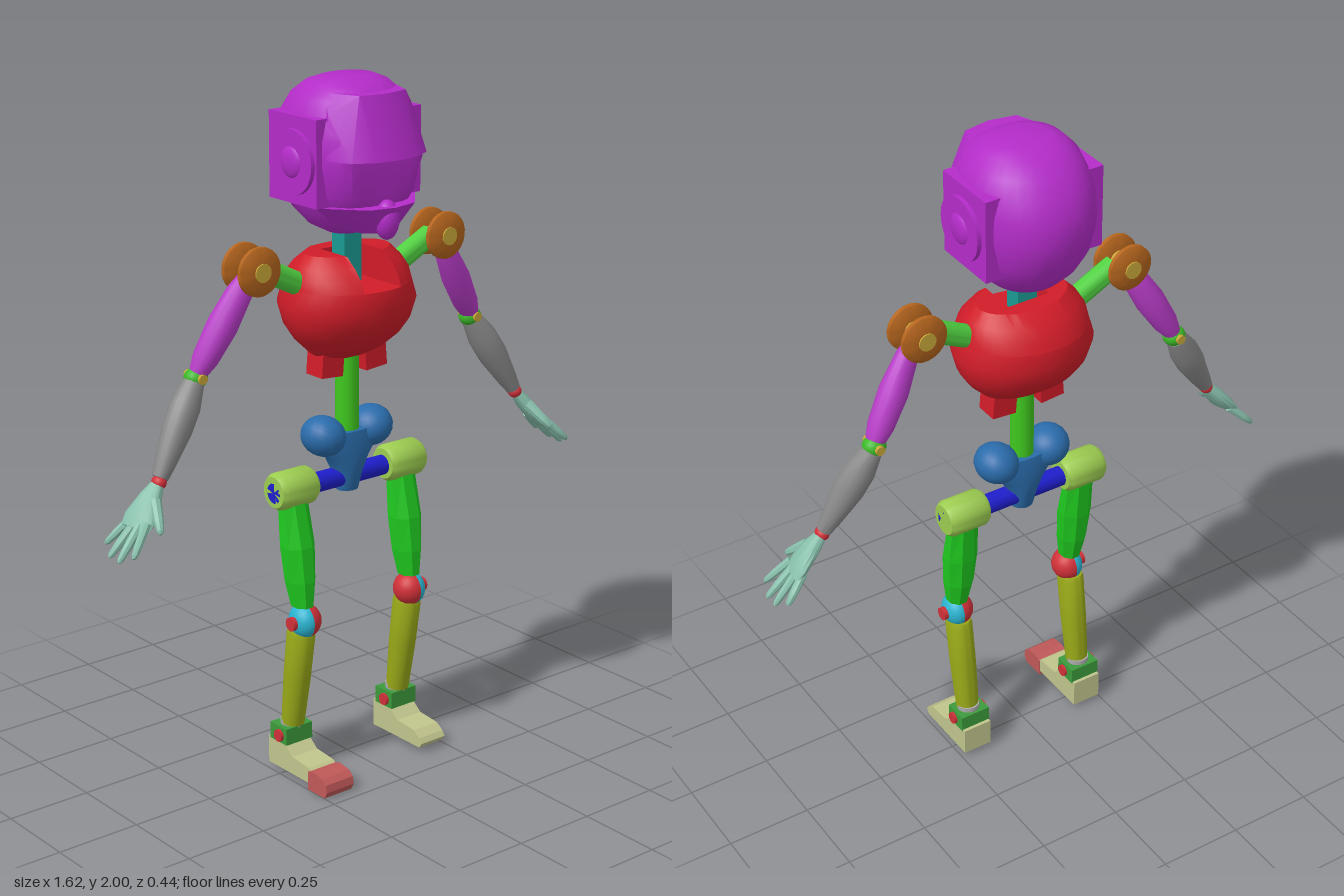
import * as THREE from 'three';
import { toCreasedNormals } from 'three/addons/utils/BufferGeometryUtils.js';
import { ConvexGeometry } from 'three/addons/geometries/ConvexGeometry.js';

const V = (x, y, z) => new THREE.Vector3(x, y, z);
const UP = V(0, 1, 0);

function add(parent, name, geo, color, pos = [0, 0, 0], flat = false) {
  const mesh = new THREE.Mesh(geo, new THREE.MeshStandardMaterial({ color, flatShading: flat }));
  mesh.name = name;
  mesh.position.set(...pos);
  parent.add(mesh);
  return mesh;
}

// Closed skin over elliptical rings [y, rx, rz, zCentre]; pow > 2 squares the section, zMax flattens the front
function loft(rings, n = 24, { crease = 0.7, pow = 2, zMax = Infinity } = {}) {
  const p = [], idx = [];
  const e = (v) => Math.sign(v) * Math.abs(v) ** (2 / pow);
  for (const [y, rx, rz, zc = 0] of rings)
    for (let j = 0; j < n; j++) {
      const a = ((j + 0.5) / n) * Math.PI * 2;
      p.push(rx * e(Math.cos(a)), y, Math.min(zMax, zc + rz * e(Math.sin(a))));
    }
  const last = rings.length - 1, bottom = rings.length * n;
  for (const i of [0, last]) p.push(0, rings[i][0], rings[i][3] || 0);
  for (let j = 0; j < n; j++) {
    const k = (j + 1) % n;
    for (let i = 0; i < last; i++) {
      const a = i * n + j, b = i * n + k;
      idx.push(a, a + n, b, b, a + n, b + n);
    }
    idx.push(bottom, j, k, bottom + 1, last * n + k, last * n + j);
  }
  const g = new THREE.BufferGeometry();
  g.setAttribute('position', new THREE.Float32BufferAttribute(p, 3));
  g.setIndex(idx);
  g.computeVertexNormals();
  return toCreasedNormals(g, crease);
}

// Lofted limb from a to b; rings are [fraction, rx, rz]
function limb(parent, name, color, a, b, rings, n = 12, flat = false) {
  const A = V(...a), d = V(...b).sub(A), len = d.length();
  const m = add(parent, name, loft(rings.map(([t, rx, rz]) => [t * len, rx, rz]), n), color, a, flat);
  m.quaternion.setFromUnitVectors(UP, d.normalize());
  return m;
}

function disc(parent, name, color, pos, r, depth, axis, n = 20) {
  const g = new THREE.CylinderGeometry(r, r, depth, n);
  axis === 'x' ? g.rotateZ(Math.PI / 2) : g.rotateX(Math.PI / 2);
  return add(parent, name, g, color, pos);
}

function ball(parent, name, color, pos, rx, ry = rx, rz = rx) {
  return add(parent, name, new THREE.SphereGeometry(1, 20, 14).scale(rx, ry, rz), color, pos);
}

// Convex block; points are given for x >= 0 and mirrored
function hull(parent, name, color, pts) {
  const all = pts.flatMap(([x, y, z]) => (x ? [V(x, y, z), V(-x, y, z)] : [V(x, y, z)]));
  return add(parent, name, toCreasedNormals(new ConvexGeometry(all), 0.6), color);
}

function buildHead() {
  const g = new THREE.Group(), c = 0xb32cc8;
  g.name = 'head';
  add(g, 'skull', loft([[1.57, 0.05, 0.05, -0.01], [1.595, 0.1, 0.115], [1.64, 0.14, 0.16], [1.7, 0.165, 0.198],
    [1.78, 0.178, 0.22], [1.85, 0.178, 0.215], [1.9, 0.168, 0.192], [1.95, 0.148, 0.155], [1.985, 0.115, 0.105],
    [2, 0.08, 0.06]], 32, { crease: 0.75, pow: 2.15, zMax: 0.165 }), c);
  hull(g, 'brow', c, [[0.16, 1.8, 0.11], [0.13, 1.8, 0.18], [0.07, 1.8, 0.212], [0, 1.8, 0.22], [0.12, 1.97, 0.05],
    [0.08, 1.97, 0.15], [0, 1.97, 0.165], [0.145, 1.92, 0.1], [0.15, 1.8, 0], [0.1, 1.97, 0]]);
  hull(g, 'jaw', c, [[0, 1.67, 0.21], [0.08, 1.67, 0.192], [0.16, 1.67, 0.1], [0, 1.59, 0.165], [0.06, 1.595, 0.14],
    [0.1, 1.605, 0.08], [0.09, 1.605, 0], [0.15, 1.67, 0]]);
  ball(g, 'chin', c, [0, 1.63, 0.17], 0.035, 0.055, 0.034);
  for (const s of [-1, 1]) {
    add(g, 'earPanel', new THREE.BoxGeometry(0.05, 0.24, 0.205), c, [s * 0.157, 1.79, -0.007]);
    disc(g, 'earDisc', c, [s * 0.175, 1.785, 0], 0.09, 0.04, 'x', 28);
    ball(g, 'earHub', c, [s * 0.19, 1.785, 0], 0.016, 0.045, 0.045);
  }
  return g;
}

function buildTorso() {
  const g = new THREE.Group(), red = 0xd01c28;
  g.name = 'torso';
  add(g, 'chest', loft([[1.215, 0.09, 0.03], [1.24, 0.125, 0.075], [1.28, 0.165, 0.125], [1.32, 0.19, 0.155],
    [1.38, 0.205, 0.176], [1.43, 0.19, 0.165]], 32), red);
  // Upper chest: an ellipse with a neck slot open to the front, tapered toward the top
  const shape = new THREE.Shape();
  for (let i = 0; i <= 30; i++) {
    const a = ((70 - (i / 30) * 320) * Math.PI) / 180;
    shape[i ? 'lineTo' : 'moveTo'](0.19 * Math.cos(a), -0.165 * Math.sin(a));
  }
  shape.lineTo(-0.065, 0.035);
  shape.lineTo(0.065, 0.035);
  const upper = new THREE.ExtrudeGeometry(shape, { depth: 0.09, steps: 3, bevelEnabled: false });
  upper.rotateX(-Math.PI / 2);
  const p = upper.attributes.position;
  for (let i = 0; i < p.count; i++) {
    const x = p.getX(i), z = p.getZ(i), t = p.getY(i) / 0.09;
    if (Math.abs(x) < 0.07 && Math.abs(z + 0.035) < 0.01) continue;
    const nx = x * (1 - 0.28 * t * t);
    p.setX(i, Math.abs(x) > 0.06 ? Math.sign(x) * Math.max(Math.abs(nx), 0.065) : nx);
    p.setZ(i, z * (1 - 0.12 * t - 0.36 * t * t));
  }
  add(g, 'upperChest', toCreasedNormals(upper, 0.7), red, [0, 1.43, 0]);
  add(g, 'neck', new THREE.BoxGeometry(0.06, 0.18, 0.055), 0x1a9a92, [0, 1.52, 0]);
  add(g, 'spine', new THREE.CylinderGeometry(0.034, 0.034, 0.25, 16), 0x3fc81e, [0, 1.11, 0]);
  for (const s of [-1, 1]) {
    const tab = add(g, 'waistTab', new THREE.BoxGeometry(0.075, 0.07, 0.07), red, [s * 0.077, 1.205, 0]);
    tab.rotation.z = s * 0.08;
  }
  return g;
}

function buildPelvis() {
  const g = new THREE.Group(), blue = 0x2a6cab;
  g.name = 'pelvis';
  add(g, 'pelvisCore', loft([[0.82, 0.033, 0.03], [0.875, 0.045, 0.045], [0.92, 0.07, 0.05], [0.965, 0.11, 0.05],
    [1.0, 0.12, 0.045]], 20), blue);
  for (const s of [-1, 1]) {
    const lobe = ball(g, 'pelvisLobe', blue, [s * 0.085, 0.992, 0], 0.064, 0.058, 0.068);
    lobe.rotation.z = s * 0.4;
  }
  disc(g, 'hipBar', 0x1e1ecc, [0, 0.86, 0], 0.029, 0.524, 'x');
  return g;
}

function buildLeg(s) {
  const g = new THREE.Group(), x = s * 0.197, red = 0xd03038;
  g.name = s > 0 ? 'leftLeg' : 'rightLeg';
  add(g, 'hipBarrel', loft([[-0.065, 0.045, 0.045], [-0.052, 0.054, 0.054], [0.052, 0.054, 0.054],
    [0.065, 0.045, 0.045]], 20).rotateZ(Math.PI / 2), 0x9ccc50, [x, 0.863, 0]);
  add(g, 'thigh', loft([[0.525, 0.032, 0.036, 0.043], [0.6, 0.044, 0.047, 0.033], [0.7, 0.051, 0.048, 0.022],
    [0.83, 0.046, 0.034, 0.002]], 8), 0x1fc81f, [x, 0, 0], true);
  // Knee: inner and outer half balls with a side pin
  const half = () => new THREE.SphereGeometry(0.05, 20, 8, 0, Math.PI * 2, 0, Math.PI / 2);
  add(g, 'kneeInner', half().rotateZ(s * Math.PI / 2), red, [x, 0.48, 0.05]);
  add(g, 'kneeOuter', half().scale(1, 0.8, 1).rotateZ(-s * Math.PI / 2), 0x2ab4d0, [x, 0.48, 0.05]);
  disc(g, 'kneePin', red, [x + s * 0.035, 0.48, 0.05], 0.02, 0.03, 'x', 12);
  limb(g, 'shin', 0x98a818, [x, 0.15, -0.004], [x, 0.45, 0.038],
    [[0, 0.034, 0.033], [0.5, 0.038, 0.041], [0.95, 0.038, 0.045], [1, 0.034, 0.04]], 20);
  // Ankle and foot
  add(g, 'ankleRing', new THREE.CylinderGeometry(0.034, 0.034, 0.02, 16), 0xaaaaaa, [x, 0.15, -0.008]);
  add(g, 'ankle', new THREE.BoxGeometry(0.094, 0.05, 0.075), 0x3c9a3c, [x, 0.12, -0.012]);
  disc(g, 'anklePin', red, [x, 0.118, -0.005], 0.018, 0.112, 'x', 12);
  const extrudeX = (pts, w) => new THREE.ExtrudeGeometry(new THREE.Shape(pts.map(([z, y]) => new THREE.Vector2(-z, y))),
    { depth: w, bevelEnabled: false }).translate(0, 0, -w / 2).rotateY(Math.PI / 2);
  add(g, 'foot', extrudeX([[-0.06, 0.015], [-0.06, 0.1], [-0.02, 0.1], [0.01, 0.1], [0.05, 0.068], [0.125, 0.062],
    [0.15, 0.045], [0.16, 0.03], [0.15, 0.015]], 0.09), 0xc0c48c, [x, 0, 0]);
  if (s < 0) add(g, 'toeCap', extrudeX([[0.13, 0], [0.13, 0.055], [0.155, 0.062], [0.195, 0.056], [0.212, 0.042],
    [0.216, 0.02], [0.205, 0]], 0.098), 0xc05858, [x - 0.003, 0, 0]);
  return g;
}

function buildArm(s) {
  const g = new THREE.Group(), skin = 0x88c0ac, P = (x, y, z) => [s * x, y, z];
  g.name = s > 0 ? 'leftArm' : 'rightArm';
  limb(g, 'clavicle', 0x50d040, P(0.12, 1.42, 0), P(0.3, 1.51, 0), [[0, 0.033, 0.03], [1, 0.033, 0.03]], 12);
  // Shoulder: two lens-shaped discs on a pin
  for (const z of [-0.036, 0.036])
    add(g, 'shoulderDisc', loft([[-0.017, 0.05, 0.05], [-0.006, 0.068, 0.068], [0.006, 0.068, 0.068],
      [0.017, 0.05, 0.05]], 24).rotateX(Math.PI / 2), 0xb5651d, P(0.33, 1.512, z));
  disc(g, 'shoulderPin', 0xc8a838, P(0.33, 1.512, 0), 0.026, 0.114, 'z', 14);
  limb(g, 'upperArm', 0xb83cc8, P(0.345, 1.49, 0), P(0.488, 1.245, -0.033),
    [[0, 0.026, 0.02], [0.14, 0.036, 0.03], [0.5, 0.043, 0.041], [0.85, 0.036, 0.037], [1, 0.025, 0.028]], 14);
  ball(g, 'elbow', 0x3cb828, P(0.493, 1.232, -0.036), 0.034, 0.03, 0.032);
  disc(g, 'elbowPin', 0xc8a838, P(0.493, 1.235, -0.036), 0.014, 0.074, 'z', 10);
  limb(g, 'forearm', 0x888888, P(0.5, 1.222, -0.036), P(0.64, 0.99, -0.002),
    [[0, 0.03, 0.03], [0.25, 0.044, 0.042], [0.5, 0.044, 0.041], [0.85, 0.03, 0.029], [1, 0.022, 0.023]], 14);
  ball(g, 'wrist', 0xd03038, P(0.645, 0.98, 0), 0.02, 0.02, 0.023);
  // Hand: flat palm, four spread fingers and a forward thumb
  const hand = new THREE.Group();
  hand.name = 'hand';
  g.add(hand);
  limb(hand, 'palm', skin, P(0.65, 0.975, 0), P(0.735, 0.872, 0.012),
    [[0, 0.016, 0.02], [0.3, 0.022, 0.035], [0.75, 0.021, 0.052], [1, 0.013, 0.048]], 14);
  [[0.046, 0.082, 0.788, 0.82], [0.023, 0.038, 0.806, 0.8], [0, -0.006, 0.806, 0.803], [-0.023, -0.05, 0.788, 0.825]]
    .forEach(([z0, z1, x, y]) => limb(hand, 'finger', skin, P(0.72, 0.89, z0), P(x, y, z1),
      [[0, 0.013, 0.013], [0.6, 0.012, 0.012], [0.92, 0.009, 0.009], [1, 0.004, 0.004]], 8));
  limb(hand, 'thumb', skin, P(0.675, 0.94, 0.025), P(0.71, 0.875, 0.097),
    [[0, 0.016, 0.018], [0.6, 0.014, 0.014], [0.92, 0.01, 0.01], [1, 0.004, 0.004]], 8);
  return g;
}

export function createModel() {
  const model = new THREE.Group();
  model.name = 'articulatedFigure';
  model.add(buildHead(), buildTorso(), buildPelvis());
  for (const s of [1, -1]) model.add(buildLeg(s), buildArm(s));
  return model;
}
